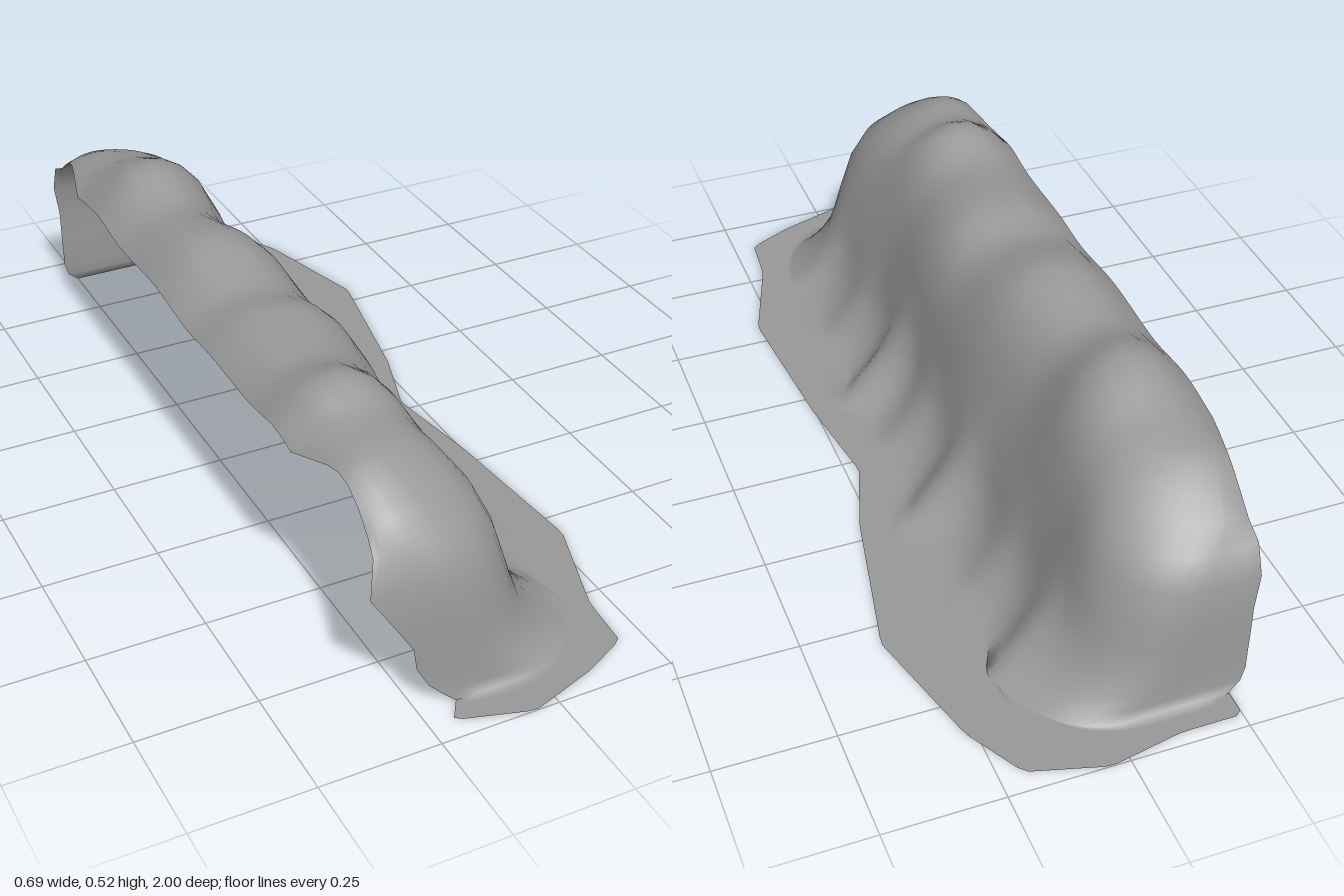
import * as THREE from 'three';

const { lerp, smoothstep } = THREE.MathUtils;
const COLS = 120;
const GROUND = 0.004;
const material = new THREE.MeshStandardMaterial({ color: 0x999999, side: THREE.DoubleSide });

// Crest height along the ridge
const crestCurve = new THREE.SplineCurve([[-0.92, 0.42], [-0.75, 0.45], [-0.6, 0.478], [-0.45, 0.525], [-0.3, 0.487],
  [-0.1, 0.507], [0.07, 0.467], [0.2, 0.482], [0.38, 0.475], [0.5, 0.505], [0.6, 0.468], [0.73, 0.462], [0.92, 0.45],
].map(([z, y]) => new THREE.Vector2(z, y)));
const crest = crestCurve.getPoints(120);
const crestHeight = z => {
  const i = Math.max(1, crest.findIndex(p => p.x >= z));
  const a = crest[i - 1], b = crest[i];
  return lerp(a.y, b.y, (z - a.x) / (b.x - a.x));
};

// Rock spurs at the foot of the face: z, reach, half width
const spurs = [[-0.72, 0.06, 0.07], [-0.48, 0.02, 0.06], [-0.23, 0.065, 0.07], [0.02, 0.025, 0.06],
  [0.21, 0.065, 0.06], [0.45, 0.025, 0.07], [0.7, 0.03, 0.06]];

// Cross-sections going up: height, front x, half length, back edge x at the rear end and at the front end
const sections = [
  [GROUND, 0.145, 0.91, -0.25, -0.17],
  [0.025, 0.11, 0.905, -0.275, -0.195],
  [0.055, 0.075, 0.903, -0.285, -0.225],
  [0.1, 0.042, 0.90, -0.287, -0.25],
  [0.15, 0.022, 0.90, -0.288, -0.258],
  [0.21, 0.004, 0.897, -0.29, -0.295],
  [0.285, -0.018, 0.89, -0.302, -0.343],
  [0.36, -0.045, 0.865, -0.302, -0.326],
  [0.42, -0.08, 0.82, -0.303, -0.313],
  [0.455, -0.115, 0.775, -0.305, -0.31],
  [0.478, -0.155, 0.735, -0.308, -0.31],
  [0.488, -0.2, 0.705, -0.312, -0.312],
  [0.49, -0.25, 0.67, -0.32, -0.318],
  [0.49, -0.3, 0.62, -0.334, -0.332],
  [0.49, -0.346, 0.57, -0.347, -0.347],
];

// Point on a U-shaped plan: straight front, rounded corner, side going back
function planPoint(t, X, Z, xb) {
  const a = Math.abs(t), s = Math.sign(t);
  const r = Math.min(0.17, (X - xb) * 0.75);
  if (a < 0.74) return [X, s * (Z - r) * a / 0.74];
  if (a < 0.9) {
    const q = (a - 0.74) / 0.16 * Math.PI / 2;
    return [X - r + r * Math.cos(q), s * (Z - r + r * Math.sin(q))];
  }
  return [lerp(X - r, xb, (a - 0.9) / 0.1), s * Z];
}

function cliffPoint(t, [y, X, Z, backRear, backFront]) {
  let [x, z] = planPoint(t, X, Z, t < 0 ? backRear : backFront);
  const front = 1 - smoothstep(Math.abs(t), 0.66, 0.84);
  // the crest wanders and the foot breaks into spurs
  const upper = smoothstep(y, 0.12, 0.4) * smoothstep(x, -0.34, -0.12);
  const lower = lerp(0.75, 1, smoothstep(y, 0, 0.04)) * (1 - smoothstep(y, 0.03, 0.2));
  let spur = -0.012;
  for (const [c, reach, width] of spurs) spur += reach * Math.exp(-(((z - c - y * 0.25) / width) ** 2));
  x += front * (upper * (0.018 * Math.cos(7 * (z - 0.12)) + 0.006 * Math.sin(z * 17 + y * 9)) + lower * spur);
  // height follows the crest, less so near the lip, which droops
  const weight = smoothstep(y, 0.25, 0.48) * lerp(0.4, 1, smoothstep(x, -0.345, -0.22));
  y *= lerp(1, crestHeight(z) / 0.49, weight);
  if (y > 0.38 && x < -0.22) y -= 4.8 * (x + 0.22) ** 2;
  return new THREE.Vector3(x, y, z);
}

// Surface through equal-length rows of points
function surface(name, rows) {
  const n = rows[0].length, index = [];
  for (let j = 0; j < rows.length - 1; j++) {
    for (let i = 0; i < n - 1; i++) {
      const a = j * n + i, up = a + n;
      index.push(a, up, a + 1, a + 1, up, up + 1);
    }
  }
  const geometry = new THREE.BufferGeometry().setFromPoints(rows.flat());
  geometry.setIndex(index);
  geometry.computeVertexNormals();
  const mesh = new THREE.Mesh(geometry, material);
  mesh.name = name;
  return mesh;
}

export function createModel() {
  const group = new THREE.Group();
  group.name = 'cliff';
  const ts = Array.from({ length: COLS + 1 }, (_, i) => -1 + 2 * i / COLS);

  // Rock face with rounded ends and an overhanging top lip, open at the back
  const face = sections.map(section => ts.map(t => cliffPoint(t, section)));

  // Flat ground skirt with an angular outline, flowing into the foot of the face
  const outline = [[-0.25, -0.91], [-0.25, -0.97], [-0.12, -0.97], [0.04, -1], [0.2, -0.955], [0.27, -0.83],
    [0.345, -0.55], [0.275, -0.2], [0.22, -0.03], [0.255, 0.2], [0.285, 0.56], [0.21, 0.78], [0.2, 0.9],
    [0.1, 0.95], [-0.05, 1], [-0.2, 0.955], [-0.17, 0.91]].map(([x, z]) => new THREE.Vector3(x, GROUND, z));
  const path = new THREE.CurvePath();
  for (let i = 1; i < outline.length; i++) path.add(new THREE.LineCurve3(outline[i - 1], outline[i]));
  const edge = ts.map(t => path.getPoint((t + 1) / 2));
  const middle = edge.map((p, i) => p.clone().lerp(face[0][i], 0.6));

  group.add(surface('rockFaceAndSkirt', [edge, middle, ...face]));
  return group;
}
